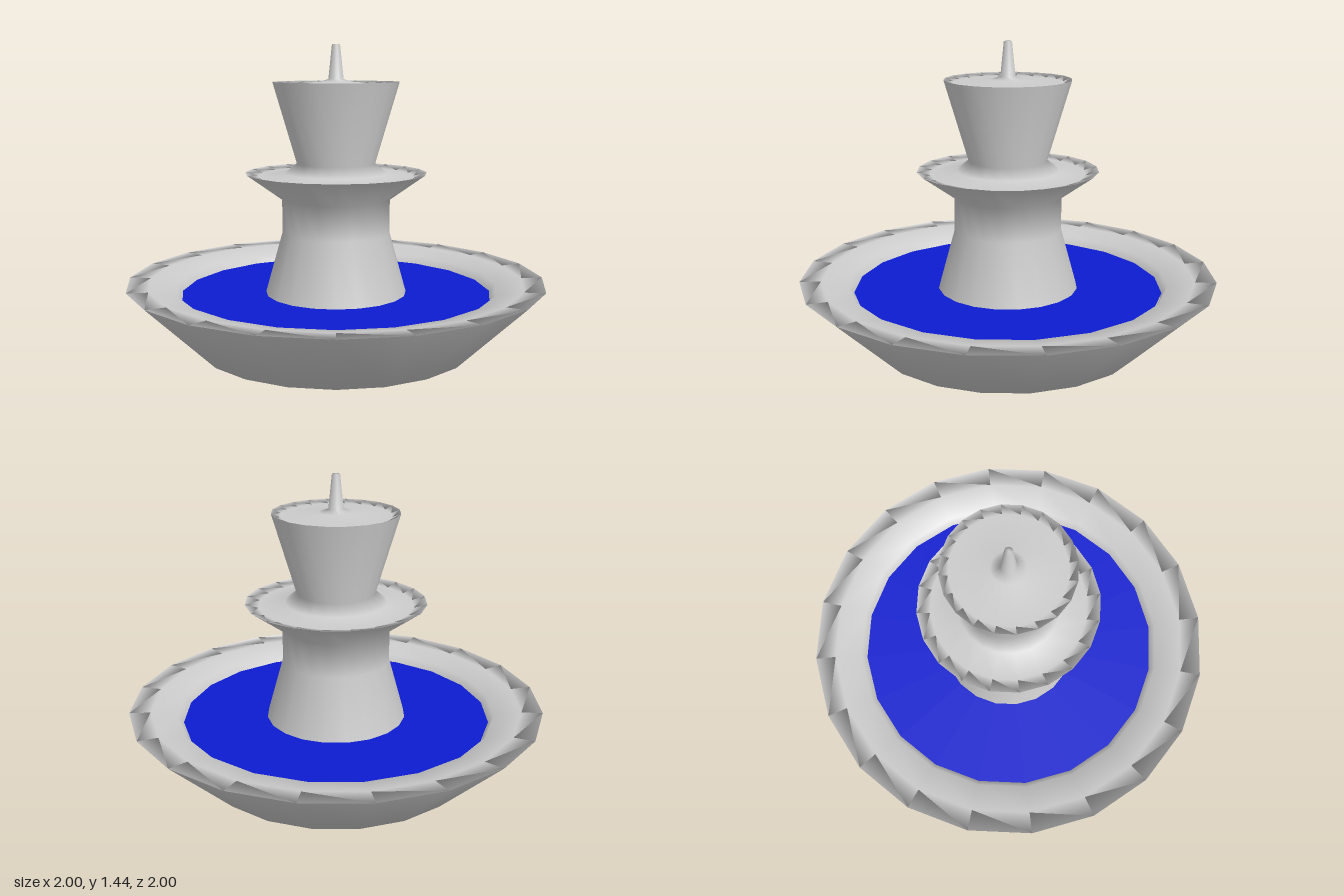
import * as THREE from 'three';

const SIDES = 20;

// Revolves a bottom-to-top [radius, height] profile into a smooth named mesh.
function turned(name, profile) {
  const points = profile.map(([r, y]) => new THREE.Vector2(r, y));
  const mesh = new THREE.Mesh(
    new THREE.LatheGeometry(points, SIDES),
    new THREE.MeshStandardMaterial({ color: 0xcccccc, side: THREE.DoubleSide })
  );
  mesh.name = name;
  return mesh;
}

export function createModel() {
  const fountain = new THREE.Group();
  fountain.name = 'fountain';

  // Wide basin: flat base, flared wall, gently sunken rim and steep inner lip
  fountain.add(turned('basin', [
    [0, 0], [0.667, 0], [1, 0.322], [0.9, 0.318], [0.77, 0.29], [0.74, 0.23],
  ]));

  // Water disc inside the basin
  const water = new THREE.Mesh(
    new THREE.CircleGeometry(0.745, SIDES),
    new THREE.MeshStandardMaterial({ color: 0x0c1cd0, side: THREE.DoubleSide })
  );
  water.name = 'water';
  water.rotation.x = -Math.PI / 2;
  water.position.y = 0.255;
  fountain.add(water);

  // Centre column: pedestal, dish, cup and spout in one smooth profile
  fountain.add(turned('tieredColumn', [
    [0.34, 0.25], [0.258, 0.545], [0.258, 0.71],               // pedestal
    [0.433, 0.836], [0.37, 0.82], [0.245, 0.835], [0.187, 0.88], // dish
    [0.3, 1.265], [0.26, 1.25], [0.08, 1.265],                 // cup
    [0.036, 1.278], [0.019, 1.44], [0, 1.44],                  // spout
  ]));

  return fountain;
}
